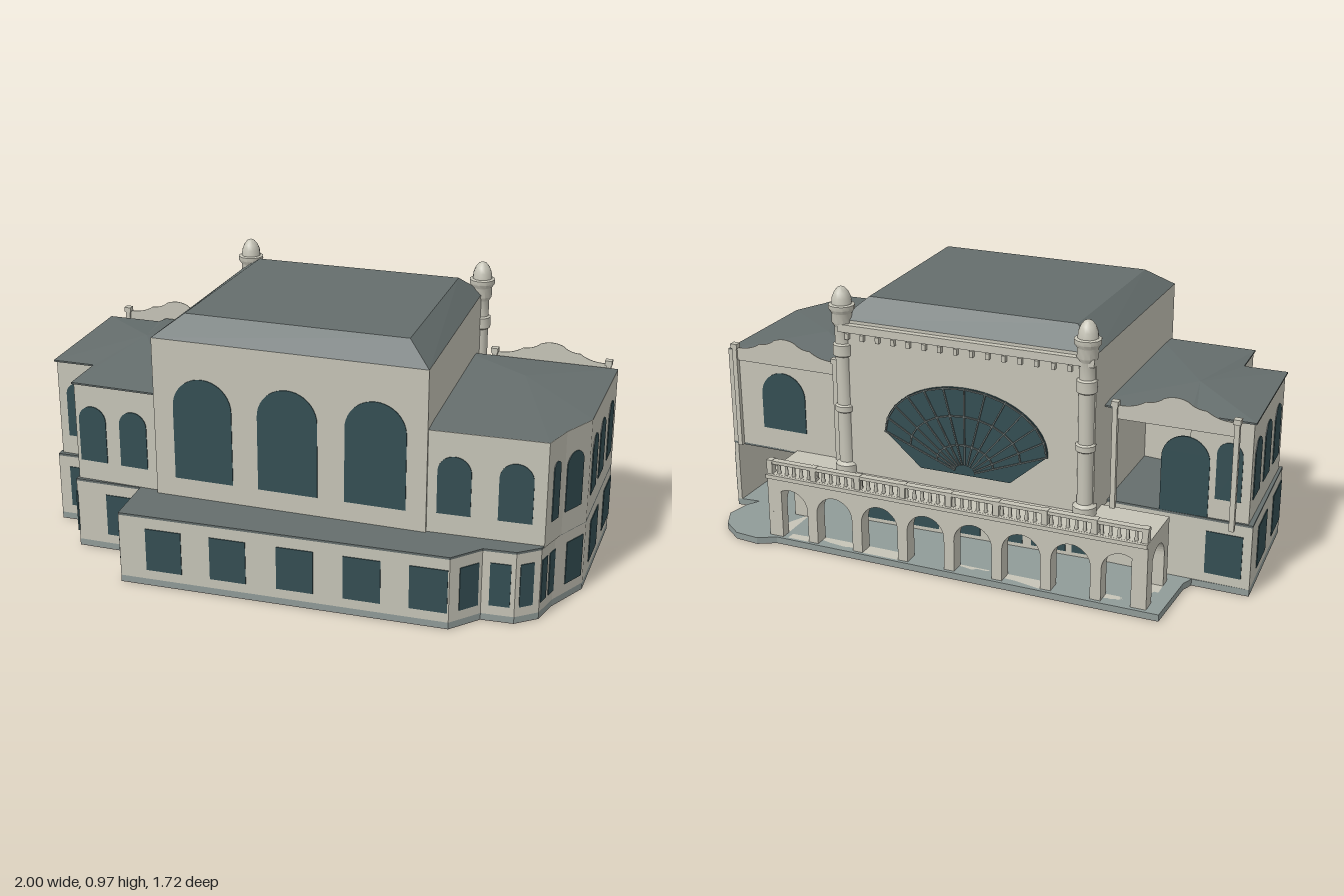
import * as THREE from 'three';
import { toCreasedNormals } from 'three/addons/utils/BufferGeometryUtils.js';

const mat = (name, color) => Object.assign(new THREE.MeshStandardMaterial({ color }), { name });

export function createModel() {
  const stone = mat('stone', 0xc6c4b7);
  const slate = mat('slate', 0x656e6d);
  const paving = mat('paving', 0x909b98);
  const footing = mat('footing', 0x8f8f8c);
  const glass = mat('glass', 0x344e53);
  const model = new THREE.Group();
  model.name = 'stationBuilding';

  const add = (parent, name, geo, material, x = 0, y = 0, z = 0) => {
    const m = new THREE.Mesh(geo, material);
    m.name = name;
    m.position.set(x, y, z);
    parent.add(m);
    return m;
  };
  const box = (parent, name, w, h, d, x, y, z, material = stone) =>
    add(parent, name, new THREE.BoxGeometry(w, h, d), material, x, y, z);

  // Upright block over a plan outline of [x, z] corners
  const prism = (name, pts, y0, y1, material) => {
    const shape = new THREE.Shape(pts.map(([x, z]) => new THREE.Vector2(x, -z)));
    const geo = new THREE.ExtrudeGeometry(shape, { depth: y1 - y0, bevelEnabled: false });
    add(model, name, geo.rotateX(-Math.PI / 2), material, 0, y0, 0);
  };

  // Sloping roof from an outline to a matching upper outline
  const roof = (name, low, y0, high, y1) => {
    const v = [];
    const n = low.length;
    for (let i = 0; i < n; i++) {
      const j = (i + 1) % n;
      const a = [low[i][0], y0, low[i][1]], b = [low[j][0], y0, low[j][1]];
      const c = [high[j][0], y1, high[j][1]], d = [high[i][0], y1, high[i][1]];
      v.push(...a, ...b, ...c, ...a, ...c, ...d);
      v.push(high[0][0], y1, high[0][1], ...d, ...c);
    }
    const geo = new THREE.BufferGeometry();
    geo.setAttribute('position', new THREE.Float32BufferAttribute(v, 3));
    geo.computeVertexNormals();
    add(model, name, geo, slate);
  };

  // Local frame on a wall: x runs along it, z points outwards
  const wall = (name, a, b) => {
    const g = new THREE.Group();
    const dx = b[0] - a[0], dz = b[1] - a[1];
    g.name = name;
    g.position.set(a[0], 0, a[1]);
    g.rotation.y = Math.atan2(-dz, dx);
    g.userData.length = Math.hypot(dx, dz);
    model.add(g);
    return g;
  };

  // Opening outline, optionally with a round head
  const opening = (Kind, x, y0, y1, w, arched) => {
    const s = new Kind(), r = w / 2;
    s.moveTo(x - r, y0);
    s.lineTo(x + r, y0);
    if (arched) s.absarc(x, y1 - r, r, 0, Math.PI, false);
    else s.lineTo(x + r, y1).lineTo(x - r, y1);
    s.closePath();
    return s;
  };
  const plate = (parent, name, shape, depth, material, z = 0) =>
    add(parent, name, new THREE.ExtrudeGeometry(shape, { depth, bevelEnabled: false, curveSegments: 10 }), material, 0, 0, z);
  const windows = (a, b, places, w, y0, y1, arched) => {
    const g = wall('windowWall', a, b);
    places.forEach(t => plate(g, 'window', opening(THREE.Shape, t * g.userData.length, y0, y1, w, arched), 0.006, glass, -0.003));
  };

  // Plan outlines, running left to right along the front and then round the back
  const lowerFront = [[-1, 0.27], [-0.73, 0.72], [-0.59, 0.64], [-0.5, 0.8], [-0.28, 0.68], [-0.17, 0.857],
    [0.84, 0.27], [0.87, 0.145], [0.965, 0.085], [1, 0], [0.975, -0.1], [0.97, -0.27], [0.74, -0.71]];
  const lower = [...lowerFront, [0.725, -0.702], [0.945, -0.28], [0.46, -0.02], [0.28, -0.44], [-0.55, 0.04]];
  const ledge = [...lowerFront, [0.25, -0.449], [-0.55, 0.04]];
  const hall = [[-0.203, 0.66], [0.66, 0.197], [0.235, -0.54], [-0.6, -0.09]];
  const leftWing = [[-0.98, 0.27], [-0.73, 0.7], [-0.59, 0.63], [-0.5, 0.785], [-0.17, 0.62],
    [-0.3, 0.38], [-0.61, 0.51], [-0.79, 0.168]];
  const leftEaves = [[-0.99, 0.268], [-0.73, 0.713], [-0.59, 0.637], [-0.5, 0.795], [-0.17, 0.625], [-0.5, -0.02],
    [-0.6, 0.005], [-0.82, 0.13], [-0.81, 0.17]];
  const rightWing = [[0.62, 0.21], [0.998, -0.015], [0.975, -0.13], [0.97, -0.27], [0.74, -0.71], [0.25, -0.449]];

  // Paved slab with its rounded terrace, on a shallow footing
  const slab = [...lowerFront, [0.665, -0.66], [0.67, -0.71], [0.645, -0.8], [0.575, -0.85], [0.485, -0.865],
    [0.4, -0.83], [0.36, -0.77], [-0.93, -0.09], [-0.825, 0.13], [-0.82, 0.175]];
  prism('footing', slab, 0, 0.003, footing);
  prism('plinth', slab, 0.003, 0.025, paving);

  // Main masses and roofs
  prism('lowerStorey', lower, 0.025, 0.258, stone);
  prism('ledgeRoof', ledge, 0.258, 0.266, slate);
  prism('hall', hall, 0.255, 0.847, stone);
  prism('leftWing', leftWing, 0.26, 0.635, stone);
  prism('rightWing', rightWing, 0.26, 0.635, stone);
  roof('hallRoof', hall, 0.847, [[-0.165, 0.54], [0.54, 0.163], [0.205, -0.435], [-0.475, -0.065]], 0.916);
  prism('leftEaves', leftEaves, 0.63, 0.636, slate);
  roof('leftWingRoof', leftEaves, 0.636, leftEaves.map(() => [-0.65, 0.35]), 0.665);
  roof('rightWingRoof', rightWing, 0.636, rightWing.map(() => [0.6, -0.36]), 0.665);

  // Lower windows: wall index, places along it, width
  [[0, [0.34, 0.84], 0.15], [1, [0.55], 0.09], [2, [0.75], 0.1], [3, [0.73], 0.135], [4, [0.66], 0.13],
    [5, [0.14, 0.34, 0.545, 0.745, 0.94], 0.13], [6, [0.6], 0.075], [7, [0.55], 0.07], [8, [0.45], 0.05],
    [9, [0.25, 0.82], 0.04], [10, [0.65], 0.09], [11, [0.33, 0.85], 0.145]]
    .forEach(([i, t, w]) => windows(lowerFront[i], lowerFront[i + 1], t, w, 0.06, 0.218, false));
  windows([-0.81, 0.173], [-1, 0.27], [0.55], 0.13, 0.06, 0.218, false);

  // Upper arched windows
  [[leftWing, 0, [0.18, 0.5, 0.82], 0.1], [leftWing, 1, [0.5], 0.09], [leftWing, 2, [0.45], 0.1],
    [leftWing, 3, [0.18, 0.61], 0.105], [rightWing, 0, [0.3, 0.77], 0.115],
    [rightWing, 1, [0.52], 0.045], [rightWing, 2, [0.4], 0.09], [rightWing, 3, [0.18, 0.47, 0.8], 0.095]]
    .forEach(([p, i, t, w]) => windows(p[i], p[(i + 1) % p.length], t, w, 0.34, 0.55, true));
  windows([-0.5, 0.013], leftWing[0], [0.86], 0.09, 0.34, 0.55, true);
  windows([-0.5, 0.013], leftWing[0], [0.58], 0.17, 0.266, 0.55, true);
  windows(rightWing[4], rightWing[5], [0.41], 0.18, 0.345, 0.57, true);
  windows(hall[0], hall[1], [0.185, 0.5, 0.818], 0.215, 0.337, 0.715, true);
  windows(lower[16], lower[17], [0.08, 0.25, 0.42, 0.59, 0.76, 0.92], 0.13, 0.04, 0.21, true);

  // Great fan window with glazing bars, and cornice
  const facade = wall('hallFacade', hall[2], hall[3]);
  const mid = facade.userData.length / 2, sill = 0.335;
  const rim = (a, k = 1) => new THREE.Vector2(mid + 0.308 * k * Math.cos(a), sill + k * (0.12 + 0.205 * Math.sin(a)));
  const fan = new THREE.Shape([new THREE.Vector2(mid - 0.17, sill), new THREE.Vector2(mid + 0.17, sill),
    ...Array.from({ length: 25 }, (_, i) => rim(i * Math.PI / 24))]);
  plate(facade, 'fanWindow', fan, 0.006, glass);
  const bar = (p, q) => {
    const c = p.clone().add(q).multiplyScalar(0.5);
    const m = box(facade, 'glazingBar', p.distanceTo(q), 0.005, 0.006, c.x, c.y, 0.008, slate);
    m.rotation.z = Math.atan2(q.y - p.y, q.x - p.x);
  };
  for (let i = 0; i <= 12; i++) {
    const a = i * Math.PI / 12;
    bar(rim(a, 0.12), rim(a));
    if (i < 12) [0.35, 0.68, 0.99].forEach(k => bar(rim(a, k), rim(a + Math.PI / 12, k)));
  }
  box(facade, 'cornice', mid * 2, 0.028, 0.03, mid, 0.822, 0.01);
  for (let i = 0; i < 16; i++) box(facade, 'dentil', 0.014, 0.022, 0.016, (i + 0.5) * mid / 8, 0.79, 0.007);

  // Corner turrets
  const profile = [[0, 0.26], [0.042, 0.26], [0.042, 0.3], [0.028, 0.31], [0.028, 0.5], [0.036, 0.505], [0.036, 0.525],
    [0.028, 0.53], [0.028, 0.71], [0.036, 0.715], [0.036, 0.755], [0.028, 0.76], [0.028, 0.82], [0.037, 0.835], [0.037, 0.87],
    [0.047, 0.885], [0.047, 0.9], [0.036, 0.903], [0.034, 0.925], [0.026, 0.945], [0.014, 0.96], [0, 0.966]];
  const turret = toCreasedNormals(new THREE.LatheGeometry(profile.map(p => new THREE.Vector2(...p)), 12), 0.6);
  [[-0.572, -0.105], [0.237, -0.53]].forEach(([x, z]) => add(model, 'turret', turret, stone, x, 0, z));

  // Thin scalloped gables between slim posts
  [[[-0.6, 0.0], [-0.97, 0.198]], [[0.705, -0.7], [0.335, -0.503]]].forEach(([a, b]) => {
    const g = wall('gable', a, b), L = g.userData.length;
    const s = new THREE.Shape();
    s.moveTo(0, 0.6);
    s.lineTo(L, 0.6);
    s.lineTo(L, 0.65);
    s.quadraticCurveTo(L * 0.85, 0.645, L * 0.75, 0.675);
    s.quadraticCurveTo(L * 0.66, 0.675, L * 0.6, 0.697);
    s.quadraticCurveTo(L / 2, 0.715, L * 0.4, 0.697);
    s.quadraticCurveTo(L * 0.34, 0.675, L * 0.25, 0.675);
    s.quadraticCurveTo(L * 0.15, 0.645, 0, 0.65);
    plate(g, 'gablePlate', s, 0.003, stone, -0.001);
    [0, L].forEach(x => {
      box(g, 'gablePost', 0.018, 0.39, 0.018, x, 0.455, 0);
      box(g, 'postCap', 0.026, 0.018, 0.026, x, 0.655, 0);
    });
  });

  // Arcade with its deck and balustrade
  const R = [0.395, -0.775], L = [-0.88, -0.1], Li = [-0.775, 0.1], Ri = [0.5, -0.58];
  prism('arcadeDeck', [R, L, Li, Ri], 0.25, 0.27, stone);
  const arcade = (a, b, bays) => {
    const g = wall('arcade', a, b), len = g.userData.length, step = len / bays;
    const s = new THREE.Shape();
    s.moveTo(0, 0.02).lineTo(len, 0.02).lineTo(len, 0.25).lineTo(0, 0.25).closePath();
    for (let i = 0; i < bays; i++) s.holes.push(opening(THREE.Path, (i + 0.5) * step, 0.025, 0.215, 0.142, true));
    plate(g, 'arches', s, 0.055, stone, -0.055);
    return g;
  };
  const front = arcade(R, L, 8), len = front.userData.length;
  arcade(L, Li, 1);
  arcade(Ri, R, 1);
  box(front, 'arcadeCornice', len, 0.015, 0.024, len / 2, 0.262, 0);
  box(front, 'handrail', len, 0.012, 0.026, len / 2, 0.315, -0.013);
  const baluster = new THREE.CylinderGeometry(0.005, 0.007, 0.042, 6);
  for (let i = 0; i < 48; i++) add(front, 'baluster', baluster, stone, (i + 0.5) * len / 48, 0.29, -0.013);
  for (let i = 0; i <= 8; i++) {
    const x = 0.012 + i * (len - 0.024) / 8;
    box(front, 'balustradePost', 0.022, 0.055, 0.028, x, 0.295, -0.013);
  }
  return model;
}
